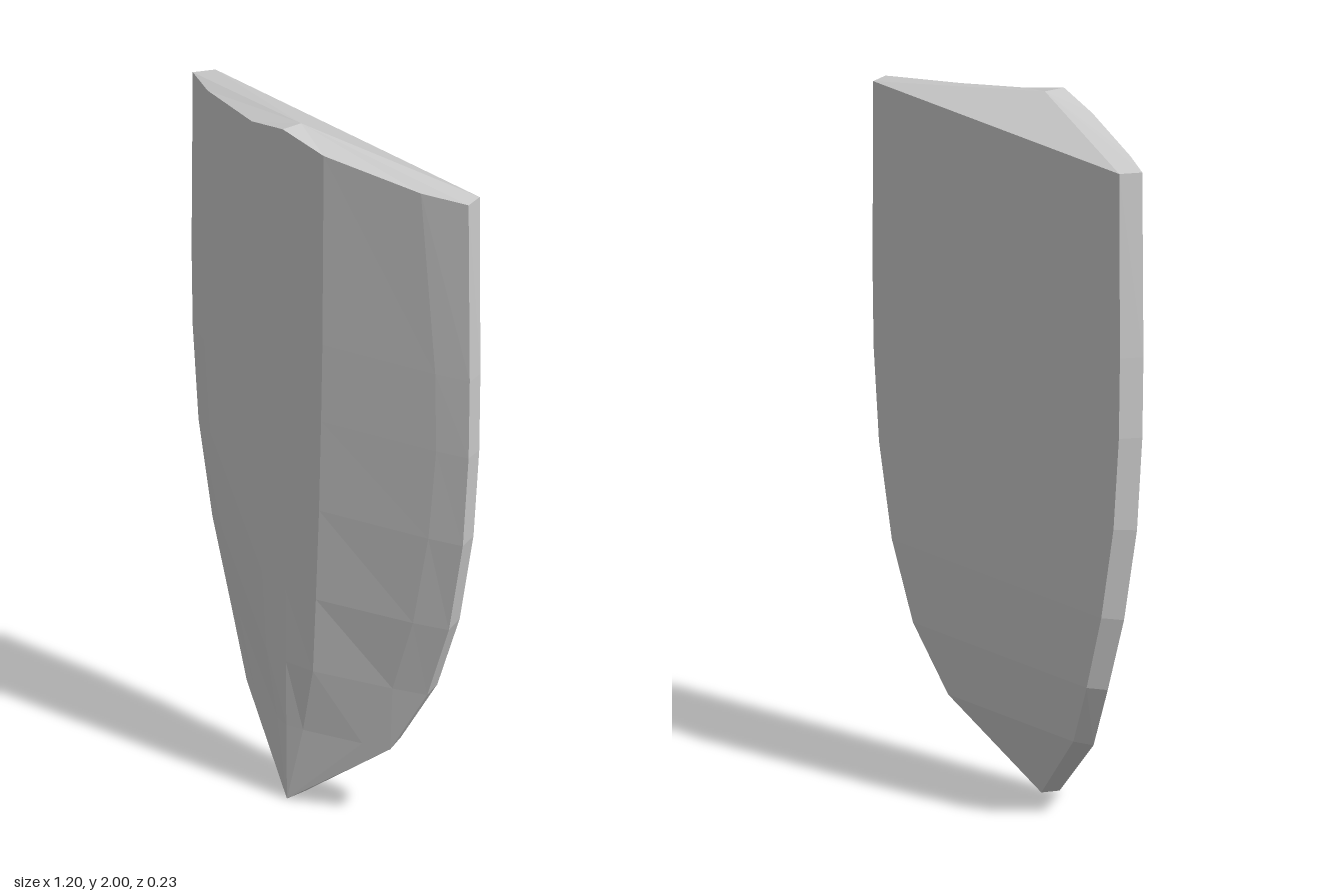
import * as THREE from 'three';

// Half cross-sections, top to tip, each point [x, y, z]:
// centre ridge, inner fold, shoulder fold, front rim, back rim
const sections = [
  [[0, 2, 0.115], [0.155, 1.967, 0.097], [0.46, 1.931, 0.003], [0.595, 1.925, -0.055], [0.57, 1.925, -0.115]],
  [[0, 1.4, 0.112], [0.147, 1.4, 0.095], [0.5, 1.4, -0.015], [0.6, 1.4, -0.055], [0.573, 1.4, -0.115]],
  [[0, 1.17, 0.11], [0.14, 1.17, 0.094], [0.5, 1.17, -0.018], [0.595, 1.17, -0.055], [0.568, 1.17, -0.115]],
  [[0, 0.9, 0.108], [0.13, 0.9, 0.093], [0.47, 0.9, -0.015], [0.57, 0.9, -0.055], [0.543, 0.905, -0.115]],
  [[0, 0.63, 0.106], [0.115, 0.63, 0.092], [0.41, 0.63, -0.01], [0.51, 0.63, -0.055], [0.485, 0.64, -0.114]],
  [[0, 0.41, 0.104], [0.1, 0.41, 0.09], [0.33, 0.41, -0.003], [0.425, 0.41, -0.048], [0.402, 0.42, -0.103]],
  [[0, 0.22, 0.102], [0.055, 0.22, 0.088], [0.23, 0.22, 0.022], [0.31, 0.22, -0.012], [0.29, 0.235, -0.066]],
  [[0, 0, 0.1], [0, 0, 0.1], [0, 0, 0.1], [0, 0, 0.1], [0, 0.005, 0.038]],
];

// Mirror a half section into a closed ring, running -x to +x across the front
function ring(half) {
  const left = half.slice(1, 4).reverse().map(([x, y, z]) => [-x, y, z]);
  const [bx, by, bz] = half[4];
  return [...left, ...half, [-bx, by, bz]];
}

function shieldGeometry() {
  const rings = sections.map(ring);
  const n = rings[0].length;
  const apex = [0, 2, 0.05];
  const positions = [];
  const same = (a, b) => a.every((v, i) => v === b[i]);
  const tri = (a, b, c) => {
    if (!same(a, b) && !same(b, c) && !same(a, c)) positions.push(...a, ...b, ...c);
  };

  // Front, side rims and back
  for (let i = 0; i < rings.length - 1; i++) {
    for (let j = 0; j < n; j++) {
      const k = (j + 1) % n;
      const a = rings[i][j], b = rings[i][k], c = rings[i + 1][k], d = rings[i + 1][j];
      tri(a, d, c);
      tri(a, c, b);
    }
  }
  // Sloping top, fanned from the raised middle point
  for (let j = 0; j < n; j++) tri(apex, rings[0][j], rings[0][(j + 1) % n]);

  const geometry = new THREE.BufferGeometry();
  geometry.setAttribute('position', new THREE.Float32BufferAttribute(positions, 3));
  geometry.computeVertexNormals();
  return geometry;
}

export function createModel() {
  const grey = new THREE.MeshStandardMaterial({ color: 0xcccccc, flatShading: true });
  grey.name = 'light grey';
  const body = new THREE.Mesh(shieldGeometry(), grey);
  body.name = 'shieldBody';
  const group = new THREE.Group();
  group.name = 'shield';
  group.add(body);
  return group;
}
